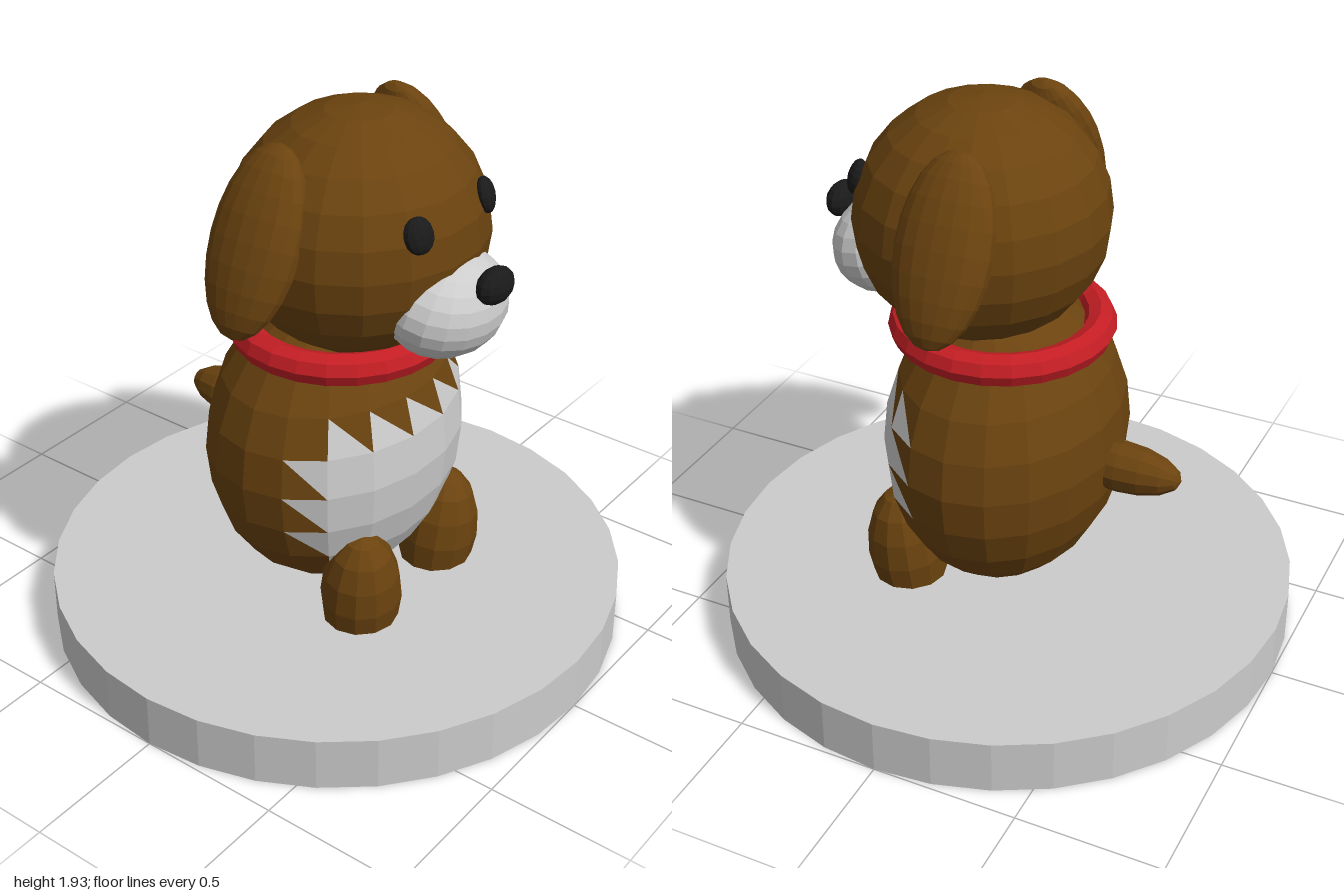
import * as THREE from 'three';

const mat = (color) => new THREE.MeshStandardMaterial({ color, flatShading: true });

export function createModel() {
  const model = new THREE.Group();
  const brown = mat(0x6b430f), grey = mat(0xcccccc), black = mat(0x1a1a1a), red = mat(0xc41e24);
  const COLS = 18, ROWS = 12;

  const add = (name, geometry, material, pos, rot = [0, 0, 0], scale = [1, 1, 1]) => {
    const mesh = new THREE.Mesh(geometry, material);
    mesh.name = name;
    mesh.position.set(...pos);
    mesh.rotation.set(...rot);
    mesh.scale.set(...scale);
    model.add(mesh);
    return mesh;
  };
  const ball = new THREE.SphereGeometry(1, COLS, ROWS);
  const smallBall = new THREE.SphereGeometry(1, 12, 8);
  const ellipsoid = (name, material, pos, semi, rot, geo = ball) => add(name, geo, material, pos, rot, semi);

  // Round base
  add('base', new THREE.CylinderGeometry(1, 1, 0.19, 32), grey, [0, 0.095, 0]);

  // Body: one ellipsoid whose front facets become a bib with a toothed border
  const inBib = (col, row, lowerLeft) => {
    if (row === 4) return col >= 2 && col <= 7 && lowerLeft;       // teeth along the top
    if (row < 4 || row > 9) return false;
    if (col >= 2 && col <= 6) return true;                         // full facets
    if (col === 1) return row <= 7 && !lowerLeft;                  // teeth on the right
    return col === 7 && row <= 6 && lowerLeft;                     // teeth on the left
  };
  const bodyFaces = [], bibFaces = [];
  const vertex = (col, row) => row * (COLS + 1) + col;
  for (let row = 0; row < ROWS; row++) {
    for (let col = 0; col < COLS; col++) {
      const a = vertex(col + 1, row), b = vertex(col, row);
      const c = vertex(col, row + 1), d = vertex(col + 1, row + 1);
      const column = col - 0;
      if (row > 0) (inBib(column, row, false) ? bibFaces : bodyFaces).push(a, b, d);
      if (row < ROWS - 1) (inBib(column, row, true) ? bibFaces : bodyFaces).push(b, c, d);
    }
  }
  const part = (faces) => ball.clone().setIndex(faces);
  const bodySize = [0.5, 0.54, 0.4];
  ellipsoid('body', brown, [0, 0.73, 0], bodySize, [0, 0, 0], part(bodyFaces));
  ellipsoid('bib', grey, [0, 0.73, 0], bodySize, [0, 0, 0], part(bibFaces));

  // Collar
  add('collar', new THREE.TorusGeometry(0.325, 0.055, 8, 24), red, [0, 1.145, 0.02], [Math.PI / 2, 0, 0]);

  // Head, muzzle and nose
  ellipsoid('head', brown, [0, 1.52, 0.09], [0.44, 0.41, 0.42]);
  ellipsoid('muzzle', grey, [0, 1.355, 0.43], [0.23, 0.17, 0.19], [0.25, 0, 0]);
  ellipsoid('nose', black, [0, 1.465, 0.61], [0.08, 0.06, 0.05], [0, 0, 0], smallBall);

  // Paired parts
  for (const [side, s] of [['left', 1], ['right', -1]]) {
    ellipsoid(side + 'Eye', black, [s * 0.18, 1.655, 0.447], [0.052, 0.06, 0.03], [-0.3, s * 0.4, 0], smallBall);
    ellipsoid(side + 'Ear', brown, [s * 0.42, 1.598, 0.015], [0.095, 0.31, 0.163], [0, 0, s * 0.43]);
    ellipsoid(side + 'Paw', brown, [s * 0.228, 0.28, 0.28], [0.142, 0.252, 0.137], [0.08, 0, -s * 0.08], smallBall);
  }

  // Tail
  ellipsoid('tail', brown, [0, 0.685, -0.42], [0.088, 0.215, 0.088], [-Math.PI / 2, 0, 0], smallBall);

  return model;
}
